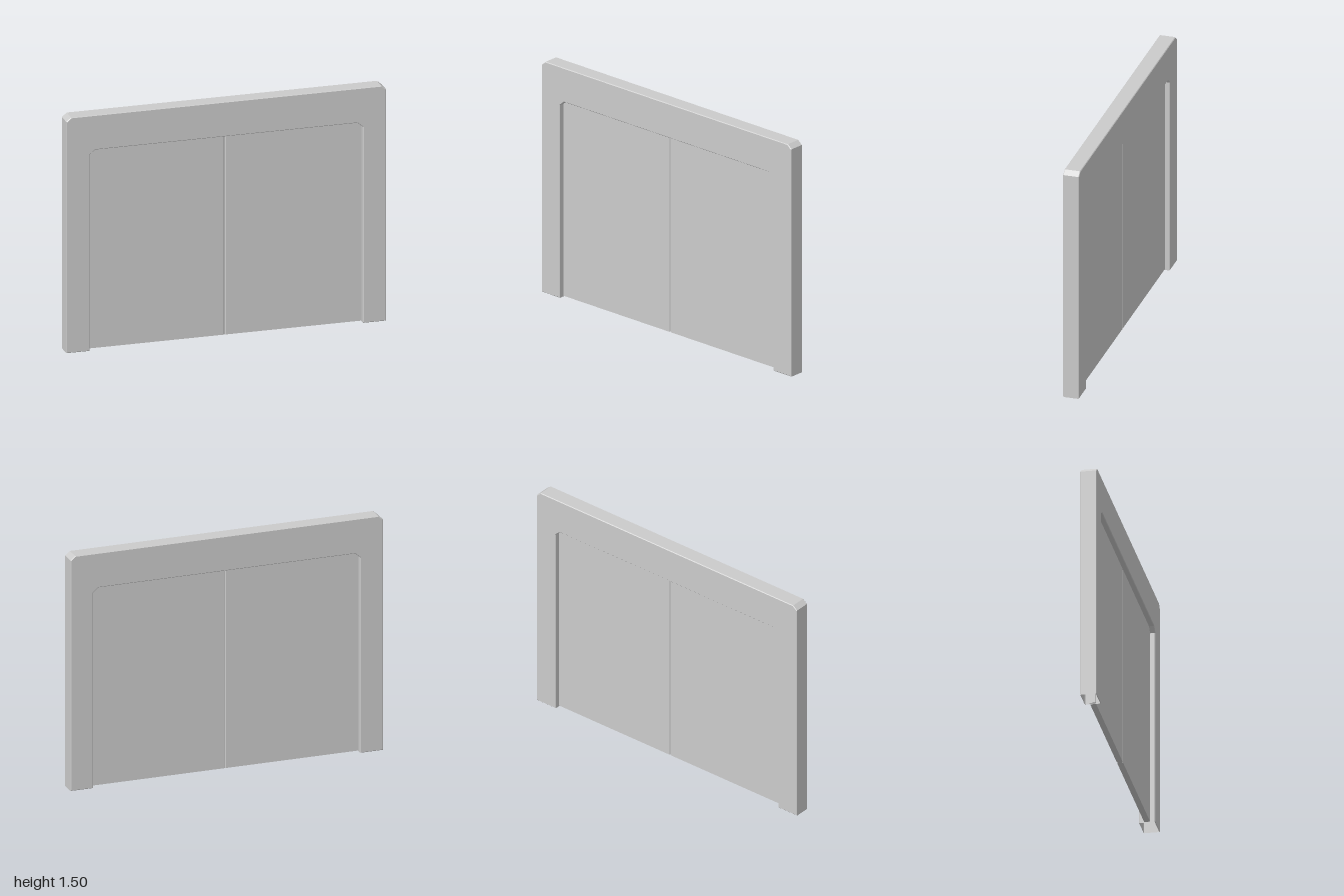
import * as THREE from 'three';

const material = new THREE.MeshStandardMaterial({
  color: 0xcccccc, flatShading: true, side: THREE.DoubleSide,
});

function shapeFrom(points) {
  return new THREE.Shape(points.map(([x, y]) => new THREE.Vector2(x, y)));
}

// Drop the triangles lying on the ground, leaving the hollow jambs open below
function openBottom(geometry) {
  const p = geometry.getAttribute('position');
  const kept = [];
  for (let i = 0; i < p.count; i += 3) {
    if ([0, 1, 2].every((k) => p.getY(i + k) < 1e-4)) continue;
    for (let k = 0; k < 3; k++) kept.push(p.getX(i + k), p.getY(i + k), p.getZ(i + k));
  }
  const open = new THREE.BufferGeometry();
  open.setAttribute('position', new THREE.Float32BufferAttribute(kept, 3));
  open.computeVertexNormals();
  return open;
}

// Portal-shaped surround with clipped outer and inner corners
function createFrame() {
  const half = [[0.855, 0], [1, 0], [1, 1.475], [0.97, 1.5]];
  const inner = [[0.82, 1.28], [0.855, 1.25]];
  const mirror = (pts) => pts.map(([x, y]) => [-x, y]).reverse();
  const outline = [...half, ...mirror(half), ...mirror(inner), ...inner];
  const bevel = 0.004;
  const geometry = new THREE.ExtrudeGeometry(shapeFrom(outline), {
    depth: 0.1 - 2 * bevel, bevelEnabled: true, bevelSegments: 1,
    bevelSize: bevel, bevelThickness: bevel, bevelOffset: -bevel,
  });
  geometry.translate(0, 0, -0.05 + bevel);
  const frame = new THREE.Mesh(openBottom(geometry), material);
  frame.name = 'doorFrame';
  return frame;
}

// One door leaf, its plan chamfered at the meeting edge to form the centre groove
function createLeaf(side) {
  const t = 0.018, c = 0.007, w = 0.865;
  const plan = [[0, -t + c], [c, -t], [w, -t], [w, t], [c, t], [0, t - c]];
  const points = plan.map(([x, z]) => [side * x, z]);
  const geometry = new THREE.ExtrudeGeometry(shapeFrom(points), { depth: 1.285, bevelEnabled: false });
  geometry.rotateX(-Math.PI / 2).translate(0, 0.005, 0);
  const leaf = new THREE.Mesh(geometry, material);
  leaf.name = side > 0 ? 'leftDoorLeaf' : 'rightDoorLeaf';
  return leaf;
}

export function createModel() {
  const model = new THREE.Group();
  model.name = 'doubleDoor';
  model.add(createFrame(), createLeaf(1), createLeaf(-1));
  return model;
}
